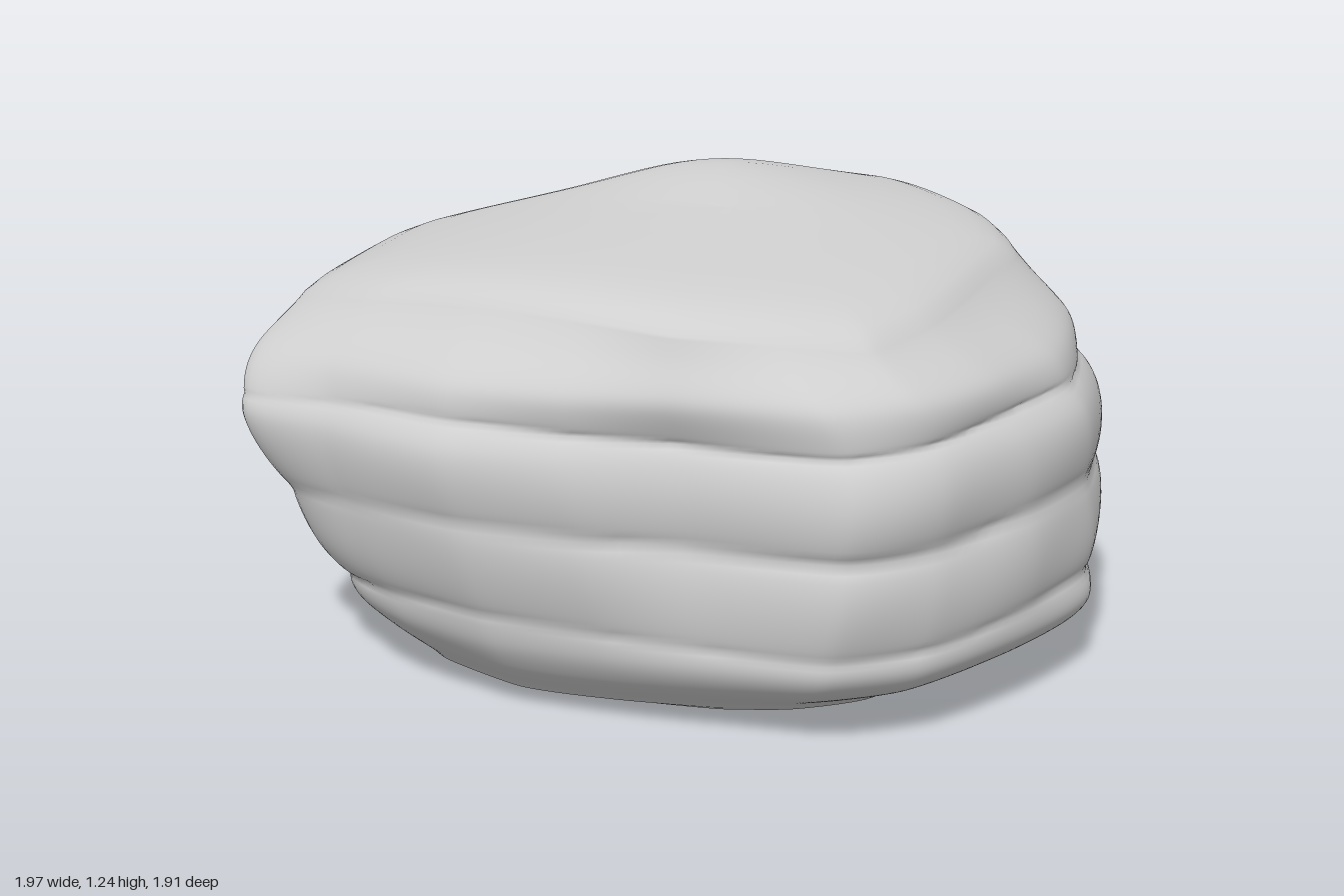
import * as THREE from 'three';

const stone = new THREE.MeshStandardMaterial({ color: 0xcfcfcf });
stone.name = 'grey stone';

// Matching outlines (x, z) of the boulder: underside edge, foot, waist and top rim
const BASE = [[-.7, -.38], [-.61, -.65], [-.28, -.81], [.08, -.86], [.43, -.77], [.64, -.53], [.74, -.24], [.71, .08],
  [.63, .34], [.48, .48], [.26, .57], [.04, .64], [-.2, .7], [-.48, .66], [-.67, .51], [-.71, .18]];
const FOOT = [[-.75, -.4], [-.66, -.71], [-.3, -.88], [.1, -.92], [.49, -.85], [.77, -.59], [.95, -.24], [.93, .07],
  [.82, .42], [.65, .61], [.35, .7], [.1, .77], [-.2, .84], [-.5, .81], [-.73, .69], [-.77, .2]];
const WAIST = [[-.92, -.02], [-.6, -.33], [-.25, -.64], [.1, -.93], [.5, -.81], [.79, -.56], [.93, -.2], [.92, .1],
  [.83, .39], [.68, .59], [.3, .72], [.05, .86], [-.25, .94], [-.6, .93], [-.89, .91], [-.92, .45]];
const RIM = [[-1, .18], [-.62, -.13], [-.25, -.44], [.12, -.76], [.42, -.66], [.6, -.45], [.67, -.1], [.69, .2],
  [.65, .42], [.47, .56], [.25, .68], [0, .72], [-.3, .74], [-.62, .72], [-.9, .64], [-.98, .45]];

const COLS = 160, SIDE_ROWS = 90;

const ring = (pts) => {
  const curve = new THREE.CatmullRomCurve3(pts.map(([x, z]) => new THREE.Vector3(x, 0, z)), true, 'catmullrom', 0.32);
  return Array.from({ length: COLS }, (_, j) => curve.getPoint(j / COLS));
};

// Gently domed top surface with a low hump towards the back
const topHeight = (x, z) => 1.175 - .16 * (x + .15) ** 2 - .05 * z - .08 * z * z
  + .057 * Math.exp(-((x + .22) ** 2) / .14 - (z + .28) ** 2 / .08);

const lumps = (x, y, z) => .5 * Math.sin(4.1 * x + 5 * y + 1) * Math.sin(4.7 * z - 3 * y)
  + .3 * Math.sin(8.3 * x - 7 * y + 3.1 * z) + .2 * Math.sin(11 * z + 9 * y - 4 * x);

// Horizontal layers: rounded bulges split by narrow crevices
function strata(x, y, z) {
  const { smoothstep } = THREE.MathUtils;
  const shifted = y + .012 * Math.sin(3 * x - 2 * z + 1) + .008 * Math.sin(7 * z + 5 * x);
  const wave = Math.abs(Math.sin(Math.PI * (shifted - .27) / .255)) ** .55 - .6;
  const strength = .036 - .01 * z + .012 * Math.sin(3 * x + 4 * z + 5 * y);
  const fade = smoothstep(y, .14, .26) * (1 - smoothstep(y, .86, 1));
  const shoulder = .025 * smoothstep(y, .78, .9) * (1 - smoothstep(y, .9, 1.08)) * smoothstep(x + z, -.7, .2);
  return wave * strength * fade + shoulder + .016 * lumps(x, y, z);
}

function boulderGeometry() {
  const [base, foot, waist, rim] = [BASE, FOOT, WAIST, RIM].map(ring);
  const rows = [];

  // Nearly flat underside, lifting slightly towards +x
  const lift = (x) => .07 * Math.max(0, x - .3);
  for (const [s, y] of [[.02, 0], [.4, .004], [.7, .01], [.88, .018], [.96, .026]])
    rows.push(base.map((p) => new THREE.Vector3(p.x * s, y + lift(p.x * s), p.z * s)));

  // Layered sides
  const columns = base.map((b, j) => new THREE.CatmullRomCurve3([
    new THREE.Vector3(b.x, .04 + lift(b.x), b.z),
    new THREE.Vector3(foot[j].x, .21, foot[j].z),
    new THREE.Vector3(waist[j].x, .73, waist[j].z),
    new THREE.Vector3(rim[j].x, topHeight(rim[j].x, rim[j].z) - .045, rim[j].z),
  ], false, 'catmullrom', 0.4));
  for (let i = 0; i <= SIDE_ROWS; i++) {
    rows.push(columns.map((c) => {
      const p = c.getPoint(i / SIDE_ROWS);
      const k = 1 + strata(p.x, p.y, p.z) / Math.hypot(p.x, p.z);
      return new THREE.Vector3(p.x * k, p.y, p.z * k);
    }));
  }

  // Rounded edge and domed top, easing out of the last side row
  const last = rows[rows.length - 1];
  for (const [s, drop] of [[.97, .027], [.93, .015], [.87, .006], [.78, 0], [.65, 0], [.5, 0], [.35, 0], [.2, 0], [.02, 0]]) {
    rows.push(last.map(({ x, z }) => new THREE.Vector3(x * s, topHeight(x * s, z * s) - drop, z * s)));
  }

  // Stitch the rows, then close both ends with a centre point
  const points = rows.flat();
  const index = [];
  for (let i = 0; i < rows.length - 1; i++) {
    for (let j = 0; j < COLS; j++) {
      const a = i * COLS + j, b = i * COLS + (j + 1) % COLS, c = a + COLS, d = b + COLS;
      index.push(a, c, b, b, c, d);
    }
  }
  const bottom = points.push(new THREE.Vector3(0, 0, 0)) - 1;
  const top = points.push(new THREE.Vector3(0, topHeight(0, 0), 0)) - 1;
  const start = (rows.length - 1) * COLS;
  for (let j = 0; j < COLS; j++) {
    const k = (j + 1) % COLS;
    index.push(bottom, j, k, top, start + k, start + j);
  }

  const geometry = new THREE.BufferGeometry().setFromPoints(points);
  geometry.setIndex(index);
  geometry.computeVertexNormals();
  return geometry;
}

export function createModel() {
  const group = new THREE.Group();
  group.name = 'layeredBoulder';
  const boulder = new THREE.Mesh(boulderGeometry(), stone);
  boulder.name = 'boulder';
  group.add(boulder);
  return group;
}
